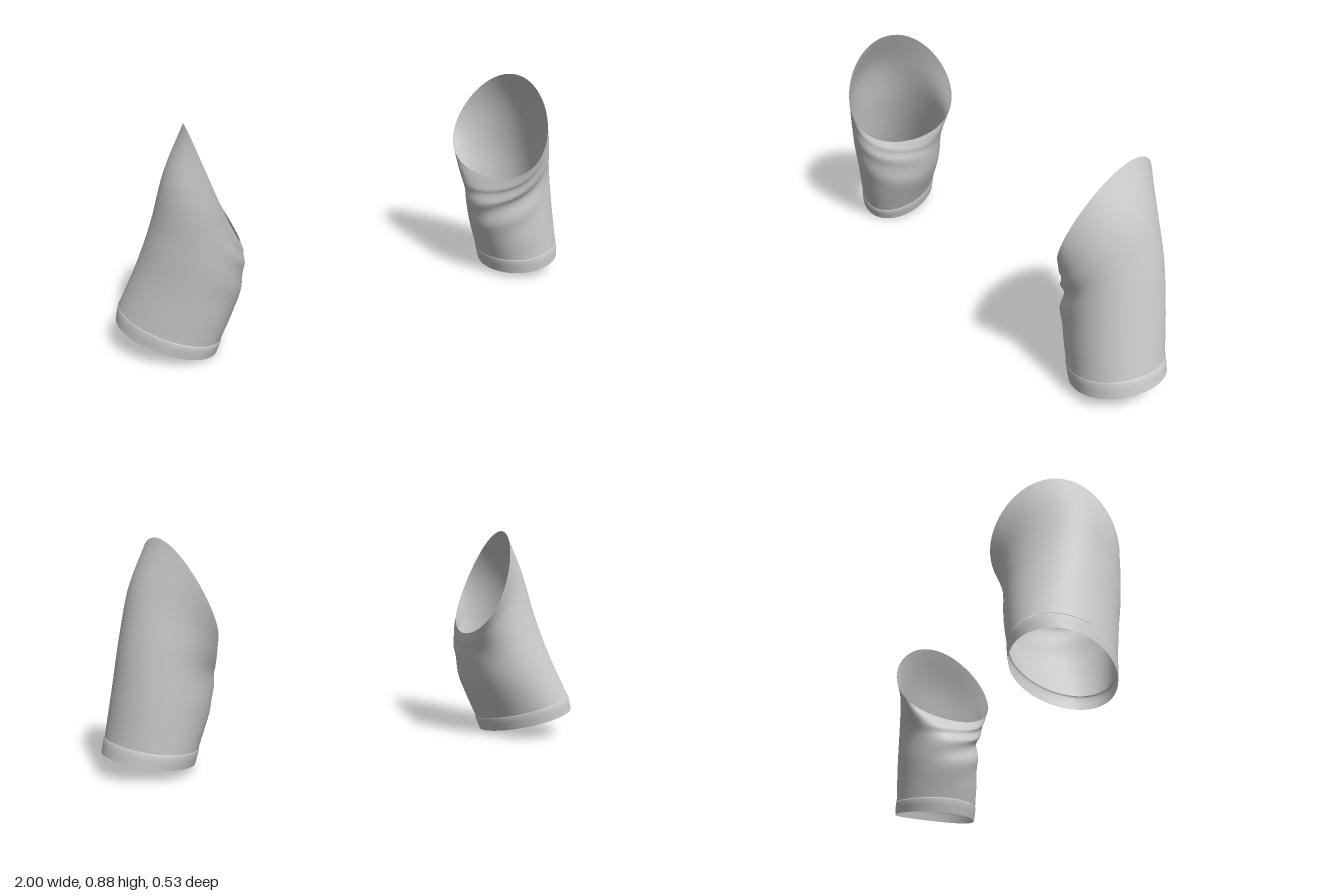
import * as THREE from 'three';

const SEG = 64;
const V = (p) => new THREE.Vector3(...p);

// Smooth loop through four points: outer, front, inner and back
function ringPoint([o, f, i, b], a) {
  const O = V(o), F = V(f), I = V(i), B = V(b);
  const mid = O.clone().add(I).multiplyScalar(0.5);
  const bend = F.clone().add(B).multiplyScalar(0.5).sub(mid);
  return mid
    .addScaledVector(O.sub(I), Math.cos(a) / 2)
    .addScaledVector(F.sub(B), Math.sin(a) / 2)
    .addScaledVector(bend, Math.sin(a) ** 2);
}

// Open tube through rows of points; side = -1 mirrors it across x
function skin(name, rows, side) {
  const pos = [], index = [];
  rows.forEach((row) => row.forEach((p) => pos.push(p.x * side, p.y, p.z)));
  for (let r = 0; r < rows.length - 1; r++) {
    for (let s = 0; s < SEG; s++) {
      const a = r * SEG + s, b = r * SEG + (s + 1) % SEG, c = a + SEG, d = b + SEG;
      if (side > 0) index.push(a, c, b, b, c, d);
      else index.push(a, b, c, b, d, c);
    }
  }
  const g = new THREE.BufferGeometry();
  g.setAttribute('position', new THREE.Float32BufferAttribute(pos, 3));
  g.setIndex(index);
  g.computeVertexNormals();
  const mesh = new THREE.Mesh(g, new THREE.MeshStandardMaterial({ color: 0xcccccc, side: THREE.DoubleSide }));
  mesh.name = name;
  return mesh;
}

function sleeve(name, rings, side, foldDepth) {
  const group = new THREE.Group();
  group.name = name;
  const angles = Array.from({ length: SEG }, (_, s) => (s / SEG) * Math.PI * 2);

  // Body: each lengthwise thread is a curve through the rings above the hem
  const threads = angles.map((a) =>
    new THREE.CatmullRomCurve3(rings.slice(1).map((r) => ringPoint(r, a)), false, 'centripetal'));
  const steps = 36, body = [];
  for (let k = 0; k <= steps; k++) {
    const t = k / steps;
    const row = threads.map((c) => c.getPoint(t));
    const centre = row.reduce((m, p) => m.add(p), new THREE.Vector3()).divideScalar(SEG);
    row.forEach((p, s) => {
      // Diagonal folds gathered under the arm, fading towards both ends
      const a = angles[s];
      const near = Math.max(0, Math.cos(a - 2.5)) ** 2 * Math.sin(Math.PI * t) ** 2;
      const fold = Math.sin(t * 24 + a * 3) * near * foldDepth;
      p.addScaledVector(p.clone().sub(centre).normalize(), fold);
    });
    body.push(row);
  }
  group.add(skin('sleeveBody', body, side));

  // Hem band: slightly proud of the body, tucked into a seam at its top
  const band = [[0, 1], [0.5, 1.01], [0.9, 1.015], [1.0, 0.985]].map(([t, grow]) => {
    const row = angles.map((a) => ringPoint(rings[0], a).lerp(ringPoint(rings[1], a), t));
    const centre = row.reduce((m, p) => m.add(p), new THREE.Vector3()).divideScalar(SEG);
    return row.map((p) => p.sub(centre).multiplyScalar(grow).add(centre));
  });
  group.add(skin('hemBand', band, side));
  return group;
}

export function createModel() {
  const model = new THREE.Group();
  model.name = 'sleevePair';

  // Rings from the hem up to the armhole: outer, front, inner, back
  const left = [
    [[1.0, 0.08, 0.04], [0.83, 0.04, 0.22], [0.655, 0.02, 0.04], [0.83, 0.045, -0.145]],
    [[0.985, 0.14, 0.04], [0.815, 0.105, 0.22], [0.64, 0.085, 0.04], [0.81, 0.1, -0.147]],
    [[0.955, 0.32, 0.03], [0.78, 0.28, 0.215], [0.59, 0.24, 0.03], [0.78, 0.28, -0.157]],
    [[0.92, 0.52, 0.02], [0.765, 0.42, 0.212], [0.583, 0.35, 0.02], [0.745, 0.44, -0.165]],
    [[0.87, 0.71, 0.02], [0.75, 0.52, 0.24], [0.597, 0.41, 0.01], [0.69, 0.54, -0.185]],
    [[0.79, 0.88, 0.02], [0.74, 0.61, 0.265], [0.62, 0.455, 0.0], [0.655, 0.64, -0.22]],
  ];
  const right = [
    [[1.0, 0.105, -0.09], [0.8, 0.019, 0.12], [0.665, 0.015, -0.06], [0.85, 0.09, -0.265]],
    [[0.985, 0.165, -0.085], [0.785, 0.075, 0.13], [0.65, 0.07, -0.05], [0.83, 0.15, -0.26]],
    [[0.925, 0.33, -0.05], [0.73, 0.24, 0.17], [0.568, 0.24, -0.03], [0.745, 0.3, -0.235]],
    [[0.875, 0.5, -0.02], [0.7, 0.4, 0.205], [0.55, 0.36, -0.01], [0.675, 0.45, -0.21]],
    [[0.82, 0.71, 0.0], [0.69, 0.52, 0.22], [0.55, 0.41, 0.0], [0.62, 0.55, -0.205]],
    [[0.73, 0.88, 0.0], [0.69, 0.6, 0.23], [0.555, 0.445, 0.0], [0.59, 0.64, -0.23]],
  ];
  model.add(sleeve('leftSleeve', left, 1, 0.008));
  model.add(sleeve('rightSleeve', right, -1, 0.003));
  return model;
}
